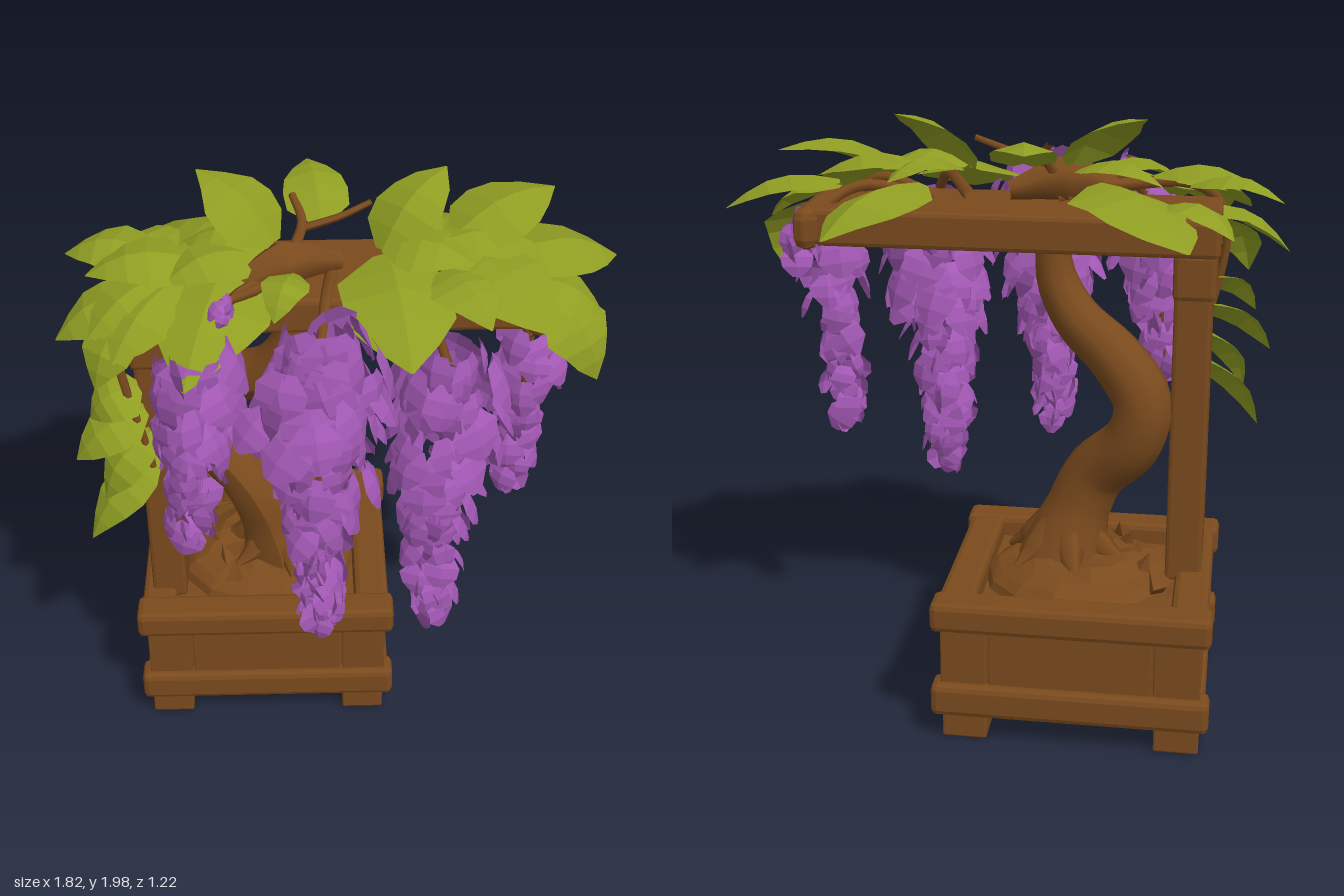
import * as THREE from 'three';
import { mergeGeometries } from 'three/addons/utils/BufferGeometryUtils.js';
import { RoundedBoxGeometry } from 'three/addons/geometries/RoundedBoxGeometry.js';

const V = (x, y, z) => new THREE.Vector3(x, y, z);

export function createModel() {
  const model = new THREE.Group();
  const wood = new THREE.MeshStandardMaterial({ name: 'brown wood', color: 0x7a4a1d });
  const green = new THREE.MeshStandardMaterial({ name: 'leaf green', color: 0x8f9d22, side: THREE.DoubleSide });
  const purple = new THREE.MeshStandardMaterial({ name: 'blossom purple', color: 0xa459b6, side: THREE.DoubleSide });

  let seed = 7;
  const rnd = () => (seed = (seed * 16807) % 2147483647) / 2147483647;
  const jit = (a) => (rnd() - 0.5) * 2 * a;

  const group = (name) => {
    const g = new THREE.Group();
    g.name = name;
    model.add(g);
    return g;
  };
  const add = (name, geo, mat, parent = model) => {
    const mesh = new THREE.Mesh(geo, mat);
    mesh.name = name;
    parent.add(mesh);
    return mesh;
  };
  const flat = (geo) => {
    const g = geo.index ? geo.toNonIndexed() : geo;
    g.computeVertexNormals();
    return g;
  };
  const lerpList = (a, t) => {
    const f = t * (a.length - 1), i = Math.min(Math.floor(f), a.length - 2);
    return a[i] + (a[i + 1] - a[i]) * (f - i);
  };
  // chamfered timber given by its extents
  const timber = (name, x0, x1, y0, y1, z0, z1, r = 0.012, parent = model) => {
    const g = flat(new RoundedBoxGeometry(x1 - x0, y1 - y0, z1 - z0, 1, r));
    g.translate((x0 + x1) / 2, (y0 + y1) / 2, (z0 + z1) / 2);
    add(name, g, wood, parent);
  };
  // tube whose radius follows a list of values along the path
  const taper = (pts, radii, seg = 20, sides = 6) => {
    const curve = new THREE.CatmullRomCurve3(pts.map((p) => V(...p)));
    const g = new THREE.TubeGeometry(curve, seg, 1, sides);
    const p = g.attributes.position;
    for (let i = 0; i < p.count; i++) {
      const t = Math.floor(i / (sides + 1)) / seg;
      const c = curve.getPointAt(t);
      const v = V().fromBufferAttribute(p, i).sub(c).multiplyScalar(lerpList(radii, t)).add(c);
      p.setXYZ(i, v.x, v.y, v.z);
    }
    g.computeVertexNormals();
    return g;
  };
  // folded pointed blade from base to tip, used for leaves and petals
  const blade = (base, tip, width, up, arch, profile, fold) => {
    const d = tip.clone().sub(base);
    const s = d.clone().cross(up).normalize();
    const n = s.clone().cross(d).normalize();
    const pos = [], idx = [], last = profile.length - 1;
    profile.forEach((w, i) => {
      const t = i / last, half = w * width / 2 * (1 + jit(0.1));
      const c = base.clone().addScaledVector(d, t).addScaledVector(n, arch * Math.sin(Math.PI * t));
      for (const k of [-1, 0, 1]) {
        const q = c.clone().addScaledVector(s, k * half).addScaledVector(n, -Math.abs(k) * half * fold);
        pos.push(q.x, q.y, q.z);
      }
      if (i < last) {
        const a = i * 3, b = a + 3;
        idx.push(a + 1, a + 2, b + 2, a + 1, b + 2, b + 1, a, a + 1, b + 1, a, b + 1, b);
      }
    });
    const g = new THREE.BufferGeometry();
    g.setAttribute('position', new THREE.Float32BufferAttribute(pos, 3));
    g.setIndex(idx);
    return flat(g);
  };

  // planter: core, feet, planks, lower band and hollow rim
  const planter = group('planter');
  const cx = -0.27, cz = -0.18;
  timber('planterCore', -0.68, 0.14, 0.09, 0.42, -0.56, 0.2, 0.005, planter);
  for (const x of [-0.69, 0.0]) for (const z of [-0.57, 0.07])
    timber('foot', x, x + 0.145, 0, 0.12, z, z + 0.145, 0.006, planter);
  for (const [a, b] of [[-0.69, -0.54], [-0.532, -0.008], [0, 0.15]])
    for (const z of [-0.57, 0.195]) timber('frontPlank', a, b, 0.15, 0.42, z, z + 0.02, 0.004, planter);
  for (const [a, b] of [[-0.565, -0.42], [-0.412, -0.1], [-0.092, 0.205]])
    for (const x of [-0.69, 0.13]) timber('sidePlank', x, x + 0.02, 0.15, 0.42, a, b, 0.004, planter);
  for (const [name, y, h, w] of [['lowerBand', 0.09, 0.11, 0.1], ['rim', 0.39, 0.1, 0.12]]) {
    for (const s of [-1, 1]) {
      const zc = cz + s * (0.425 - w / 2), xc = cx + s * (0.435 - w / 2);
      timber(name + 'Long', cx - 0.45, cx + 0.45, y, y + h, zc - w / 2, zc + w / 2, 0.02, planter);
      timber(name + 'Short', xc - w / 2, xc + w / 2, y + 0.003, y + h - 0.003, cz - 0.415, cz + 0.415, 0.02, planter);
    }
  }

  // soil mound
  const soil = new THREE.SphereGeometry(1, 14, 6, 0, Math.PI * 2, 0, Math.PI / 2);
  const sp = soil.attributes.position;
  for (let i = 0; i < sp.count; i++) {
    const x = sp.getX(i), z = sp.getZ(i);
    sp.setXYZ(i, x * 0.33, sp.getY(i) * (0.11 + 0.015 * Math.sin(x * 9 + z * 7)), z * 0.31);
  }
  add('soil', flat(soil), wood).position.set(cx, 0.42, cz);

  // trellis: post, bracket, top beam and its end cap
  timber('post', -0.67, -0.55, 0.45, 1.58, -0.23, 0.09);
  timber('bracket', -0.68, -0.545, 1.42, 1.57, -0.245, 0.1, 0.015);
  timber('beam', -0.69, 0.64, 1.565, 1.685, -0.28, 0.12, 0.015);
  timber('beamEnd', 0.58, 0.66, 1.555, 1.69, -0.32, 0.16, 0.035);

  // twisting trunk with flared roots
  add('trunk', taper([[-0.2, 0.47, -0.14], [-0.23, 0.6, -0.13], [-0.3, 0.78, -0.13], [-0.43, 0.93, -0.2],
    [-0.46, 1.07, -0.21], [-0.37, 1.2, -0.17], [-0.23, 1.31, -0.09], [-0.16, 1.43, -0.06], [-0.14, 1.6, -0.06]],
  [0.16, 0.112, 0.102, 0.1, 0.095, 0.085, 0.07, 0.05], 36, 10), wood);
  for (let i = 0; i < 6; i++) {
    const a = i * 1.05 + 0.3, c = Math.cos(a), s = Math.sin(a);
    add('root', taper([[-0.21 + c * 0.06, 0.61, -0.14 + s * 0.06], [-0.21 + c * 0.14, 0.53, -0.14 + s * 0.13],
      [-0.22 + c * 0.22, 0.49, -0.15 + s * 0.2]], [0.05, 0.045, 0.01], 8), wood);
  }
  for (let i = 0; i < 5; i++) {
    const chip = add('barkChip', flat(new THREE.ConeGeometry(0.035, 0.08, 4)), wood);
    chip.position.set(-0.52 + i * 0.035, 0.51 + jit(0.015), -0.33 + i * 0.09);
    chip.rotation.set(jit(0.6), jit(1), jit(0.8));
  }

  // knotted vine on the beam, raised stem and side vine
  add('vineKnot', taper([[-0.36, 1.7, 0.08], [-0.17, 1.75, 0], [0, 1.72, -0.07]], [0.03, 0.08, 0.03]), wood);
  add('raisedStem', taper([[-0.17, 1.74, -0.02], [-0.12, 1.84, -0.1], [-0.15, 1.9, -0.18]], [0.02, 0.012]), wood);
  add('raisedTwig', taper([[-0.12, 1.82, -0.1], [0, 1.86, -0.1], [0.1, 1.9, -0.12]], [0.014, 0.01], 8), wood);
  add('sideVine', taper([[-0.3, 1.73, 0], [-0.6, 1.73, 0.08], [-0.7, 1.6, 0.16], [-0.62, 1.1, 0.18]],
    [0.022, 0.012]), wood);

  // canopy leaves: each tip points away from the beam's spine, last value is the length
  const foliage = group('foliage');
  const leaf = (base, tip, up, width) =>
    add('leaf', blade(base, tip, width, up, 0.055, [0.25, 0.92, 1, 0.85, 0.5, 0.02], 0.3), green, foliage);
  for (const [x, y, z, len] of [
    [-0.6, 1.63, -0.48, 0.5], [-0.5, 1.76, -0.14, 0.3], [-0.1, 1.9, -0.43, 0.3], [-0.45, 1.98, -0.2, 0.34],
    [0.34, 1.98, -0.2, 0.34], [0.52, 1.63, -0.48, 0.44], [0.7, 1.87, -0.27, 0.4], [0.62, 1.76, -0.1, 0.36],
    [0.91, 1.66, -0.19, 0.38], [0.66, 1.64, 0.28, 0.42], [0.84, 1.58, 0.08, 0.3], [0.82, 1.39, 0.14, 0.3],
    [0.2, 1.63, 0.45, 0.48], [-0.48, 1.58, 0.46, 0.48], [-0.7, 1.6, 0.33, 0.36], [-0.88, 1.72, -0.14, 0.3],
    [-0.73, 1.64, -0.33, 0.27], [-0.91, 1.52, 0.06, 0.34], [-0.78, 1.42, 0.2, 0.27], [-0.8, 1.73, 0.02, 0.34],
    [0.36, 1.77, -0.24, 0.28], [0.45, 1.68, 0.3, 0.28], [-0.78, 1.63, 0.23, 0.34], [-0.55, 1.74, 0.1, 0.3],
    [0.42, 1.77, 0.06, 0.3], [-0.21, 1.68, 0.24, 0.2],
  ]) {
    const hanging = y < 1.5, tip = V(x, y, z);
    const hub = V(x * (hanging ? 0.75 : 0.4 + Math.max(0, z) * 0.7), 1.79, -0.02);
    const base = tip.clone().add(hub.sub(tip).setLength(len));
    leaf(base, tip, hanging ? V(Math.sign(x) * 0.3, 0.6, 0.6) : V(0, 1, 0.15), len * 0.76);
  }
  // leaves down the side vine
  for (let i = 0; i < 4; i++) {
    const base = V(-0.65 + i * 0.015, 1.4 - i * 0.09, 0.15);
    const tip = base.clone().add(V(i % 2 ? -0.23 : -0.16, -0.11 - i * 0.055, 0.02 + i * 0.025));
    leaf(base, tip, V(-0.5, 0.5, 0.5), 0.19);
  }

  // hanging blossom clusters: axis top to tip, radii along the axis, depth squash, petal count
  const cluster = (top, tip, radii, squash, count, size) => {
    const parts = [], a = V(...top), b = V(...tip), g = group('blossomCluster');
    for (let i = 0; i < count; i++) {
      const t = Math.pow((i + 0.5) / count, 1.1);
      const r = lerpList(radii, t) * (0.7 + rnd() * 0.35), ang = i * 2.4 + jit(0.3);
      const out = V(Math.cos(ang), 0, Math.sin(ang) * squash);
      const c = a.clone().lerp(b, t), len = size * (1.05 - 0.35 * t) * (0.8 + rnd() * 0.4);
      const base = c.clone().addScaledVector(out, r * 0.75).add(V(jit(0.03), len * 0.55, 0));
      const end = c.clone().addScaledVector(out, r).add(V(jit(0.05), -len * 0.45, jit(0.02)));
      const up = out.clone().add(V(jit(0.4), 0.3, jit(0.4)));
      parts.push(blade(base, end, len * 1.1, up, 0.015, [0.5, 1, 0.9, 0.25], 0.25));
    }
    add('petals', mergeGeometries(parts), purple, g);
    add('clusterStem', taper([top, a.clone().lerp(b, 0.5).toArray(), tip], [0.014, 0.006], 8, 5), wood, g);
    // vine from the beam to the cluster
    add('clusterVine', taper([[top[0] * 0.4, 1.69, -0.04], [top[0] * 0.75, 1.73, top[2] * 0.5], top],
      [0.022, 0.014], 14), wood, g);
  };
  cluster([-0.45, 1.6, 0.36], [-0.5, 0.98, 0.41], [0.12, 0.15, 0.14, 0.1, 0.06, 0.03], 0.6, 62, 0.14);
  cluster([-0.07, 1.7, 0.4], [-0.09, 0.71, 0.55], [0.15, 0.21, 0.22, 0.18, 0.11, 0.07, 0.06, 0.02], 0.65, 105, 0.15);
  cluster([0.32, 1.57, 0.31], [0.29, 0.59, 0.37], [0.18, 0.21, 0.21, 0.14, 0.1, 0.1, 0.08, 0.03], 0.65, 100, 0.145);
  cluster([0.61, 1.5, 0.04], [0.59, 0.86, 0.01], [0.09, 0.1, 0.09, 0.06, 0.04, 0.02], 0.9, 38, 0.12);
  cluster([0.65, 1.61, -0.24], [0.66, 1.5, -0.24], [0.05, 0.06, 0.05], 1, 8, 0.12);
  cluster([-0.37, 1.77, 0.27], [-0.37, 1.73, 0.29], [0.02, 0.02], 1, 4, 0.06);
  return model;
}
